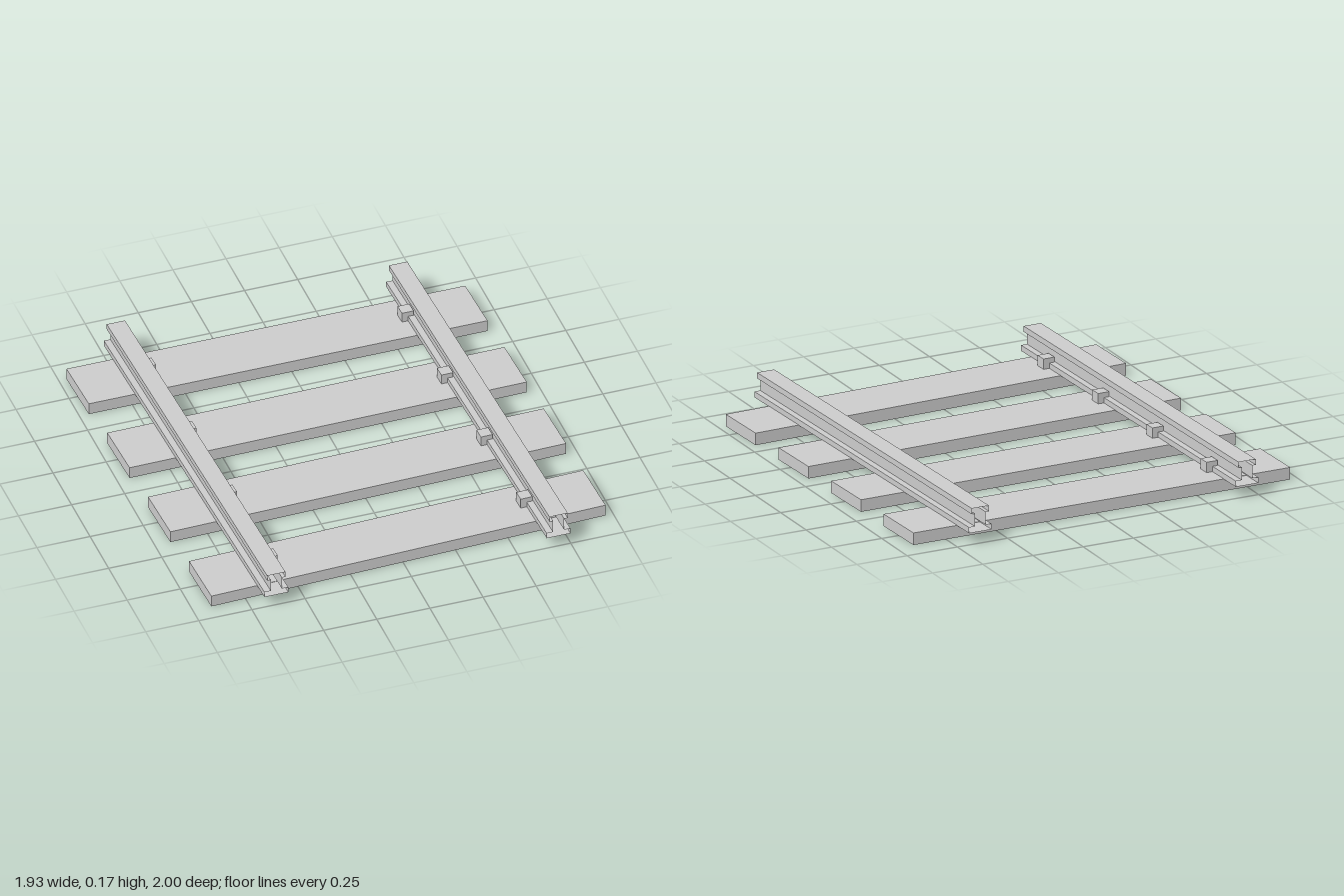
import * as THREE from 'three';

const SKEW = 0.029; // sideways drift of the track per unit of z
const FAN = -0.011; // extra turn of each following sleeper

const material = new THREE.MeshStandardMaterial({ color: 0xcccccc, flatShading: true });
const openMaterial = new THREE.MeshStandardMaterial({
  color: 0xcccccc, flatShading: true, side: THREE.DoubleSide,
});

// Box whose plan is a slightly skewed rectangle
function skewedBox(name, w, h, d, x, y, z, turn) {
  const geometry = new THREE.BoxGeometry(w, h, d);
  geometry.applyMatrix4(new THREE.Matrix4().makeShear(0, turn, 0, 0, SKEW, 0));
  geometry.translate(x, y, z);
  const mesh = new THREE.Mesh(geometry, material);
  mesh.name = name;
  return mesh;
}

// I-shaped rail skin, open at both ends
function makeRail(name, centre) {
  const half = [
    [0.056, 0.055], [0.056, 0.082], [0.026, 0.082],
    [0.026, 0.143], [0.043, 0.143], [0.043, 0.17],
  ];
  const profile = [...half, ...half.map(([x, y]) => [-x, y]).reverse()];
  const positions = [];
  const point = ([x, y], z) => [centre + x + SKEW * z, y, z];
  profile.forEach((a, i) => {
    const b = profile[(i + 1) % profile.length];
    positions.push(
      ...point(a, 1), ...point(a, -1), ...point(b, -1),
      ...point(a, 1), ...point(b, -1), ...point(b, 1),
    );
  });
  const geometry = new THREE.BufferGeometry();
  geometry.setAttribute('position', new THREE.Float32BufferAttribute(positions, 3));
  geometry.computeVertexNormals();
  const mesh = new THREE.Mesh(geometry, openMaterial);
  mesh.name = name;
  return mesh;
}

export function createModel() {
  const track = new THREE.Group();
  track.name = 'railwayTrack';

  // Rails
  const gauge = 0.664;
  track.add(makeRail('leftRail', gauge), makeRail('rightRail', -gauge));

  // Sleepers, each turned a little more, with a clip on the inner side of each rail
  [-0.75, -0.252, 0.247, 0.748].forEach((z, i) => {
    const turn = FAN * i;
    track.add(skewedBox('sleeper', 1.876, 0.057, 0.278, SKEW * z, 0.0285, z, turn));
    for (const side of [-1, 1]) {
      const x = side * (gauge - 0.0575);
      const clipZ = z + turn * x - 0.004;
      track.add(skewedBox('railClip', 0.055, 0.05, 0.056, x + SKEW * clipZ, 0.081, clipZ, turn));
    }
  });

  return track;
}
